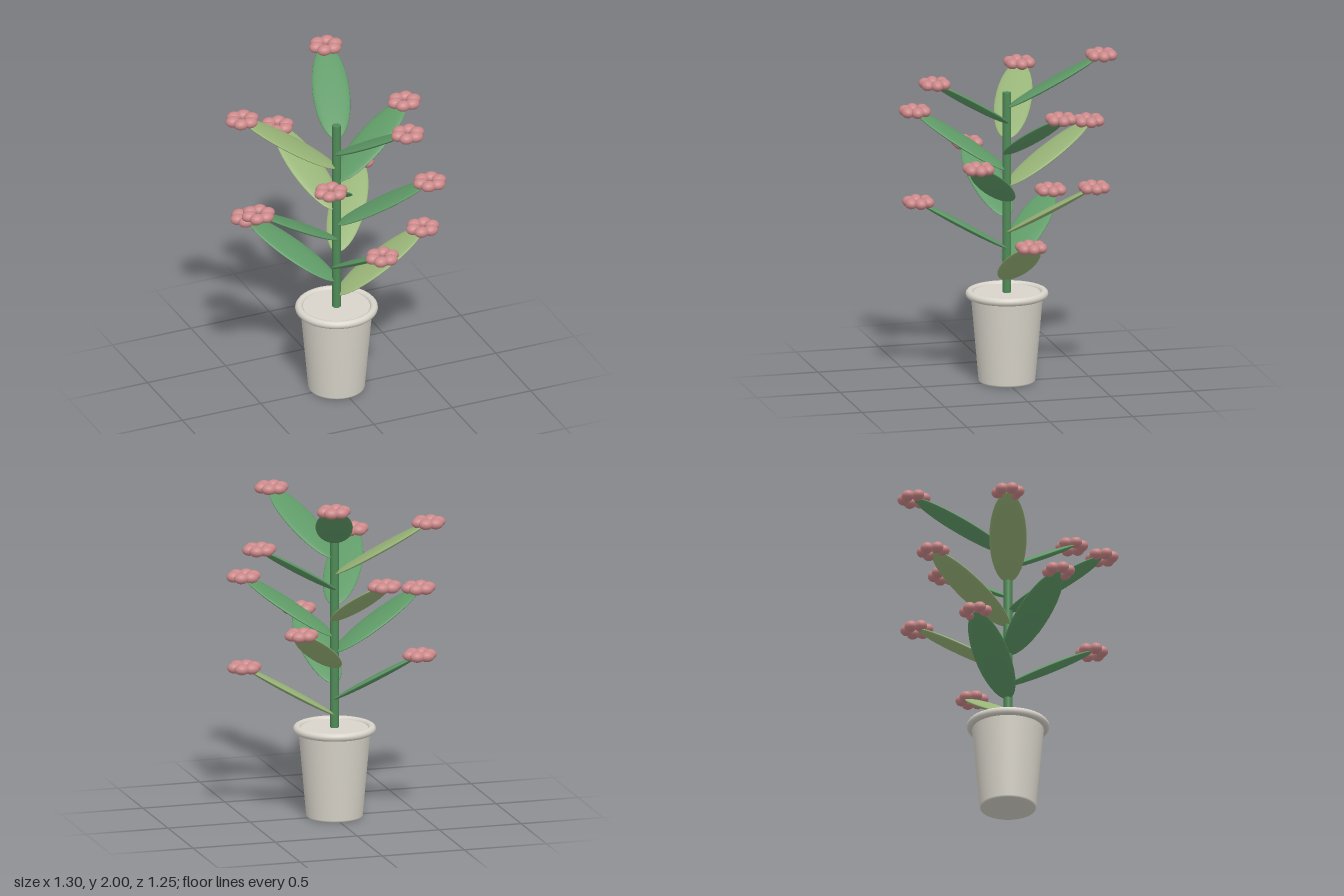
import * as THREE from 'three';

export function createModel() {
  const mat = (name, color) => {
    const m = new THREE.MeshStandardMaterial({ color });
    m.name = name;
    return m;
  };
  const potMat = mat('warm white ceramic', 0xd8d4ca);
  const stemMat = mat('stem green', 0x4f8a57);
  const leafMat = mat('leaf green', 0x5f9a67);
  const paleMat = mat('pale leaf green', 0x97b377);
  const petalMat = mat('dusty pink', 0xcb8889);

  const plant = new THREE.Group();
  plant.name = 'pottedPlant';
  plant.position.set(-0.012, 0, -0.01);

  const add = (parent, name, geometry, material, x = 0, y = 0, z = 0) => {
    const mesh = new THREE.Mesh(geometry, material);
    mesh.name = name;
    mesh.position.set(x, y, z);
    parent.add(mesh);
    return mesh;
  };

  // Tapered pot with a softened foot, rolled rim and filled top
  const profile = [[0, 0], [0.155, 0], [0.162, 0.003], [0.166, 0.012], [0.211, 0.525]];
  const body = new THREE.LatheGeometry(profile.map(([r, y]) => new THREE.Vector2(r, y)), 48);
  add(plant, 'potBody', body, potMat);
  const rim = new THREE.TorusGeometry(0.218, 0.024, 14, 48).rotateX(Math.PI / 2);
  add(plant, 'potRim', rim, potMat, 0, 0.527, 0);
  const top = new THREE.CircleGeometry(0.212, 48).rotateX(-Math.PI / 2);
  add(plant, 'potTop', top, potMat, 0, 0.535, 0);

  // Straight stem
  add(plant, 'stem', new THREE.CylinderGeometry(0.025, 0.025, 1.21, 24), stemMat, 0, 1.13, 0);

  // Leaves climb the stem in a golden-angle spiral, each tipped with a blossom
  const reach = 0.55, rise = 0.325, count = 12;
  const leafGeo = new THREE.SphereGeometry(1, 32, 20);
  leafGeo.scale(Math.hypot(reach, rise) / 2, 0.019, 0.109);
  leafGeo.rotateZ(Math.atan2(rise, reach));
  const petalGeo = new THREE.SphereGeometry(1, 20, 14).scale(0.044, 0.032, 0.0365);

  for (let i = 0; i < count; i++) {
    const branch = new THREE.Group();
    branch.name = 'leafBranch';
    const angle = i * Math.PI * (3 - Math.sqrt(5));
    const baseY = 0.61 + i * 0.0939;
    branch.position.y = baseY;
    plant.add(branch);

    const leaf = add(branch, 'leaf', leafGeo, i % 3 ? leafMat : paleMat,
      Math.cos(angle) * reach / 2, rise / 2, -Math.sin(angle) * reach / 2);
    leaf.rotation.y = angle;

    // Six-lobed level blossom
    const flower = new THREE.Group();
    flower.name = 'flower';
    flower.position.set(Math.cos(angle) * reach, rise, -Math.sin(angle) * reach);
    branch.add(flower);
    for (let k = 0; k < 6; k++) {
      const a = k * Math.PI / 3;
      add(flower, 'petal', petalGeo, petalMat, Math.cos(a) * 0.059, 0, Math.sin(a) * 0.059);
    }
  }

  const model = new THREE.Group();
  model.name = 'model';
  model.add(plant);
  return model;
}
